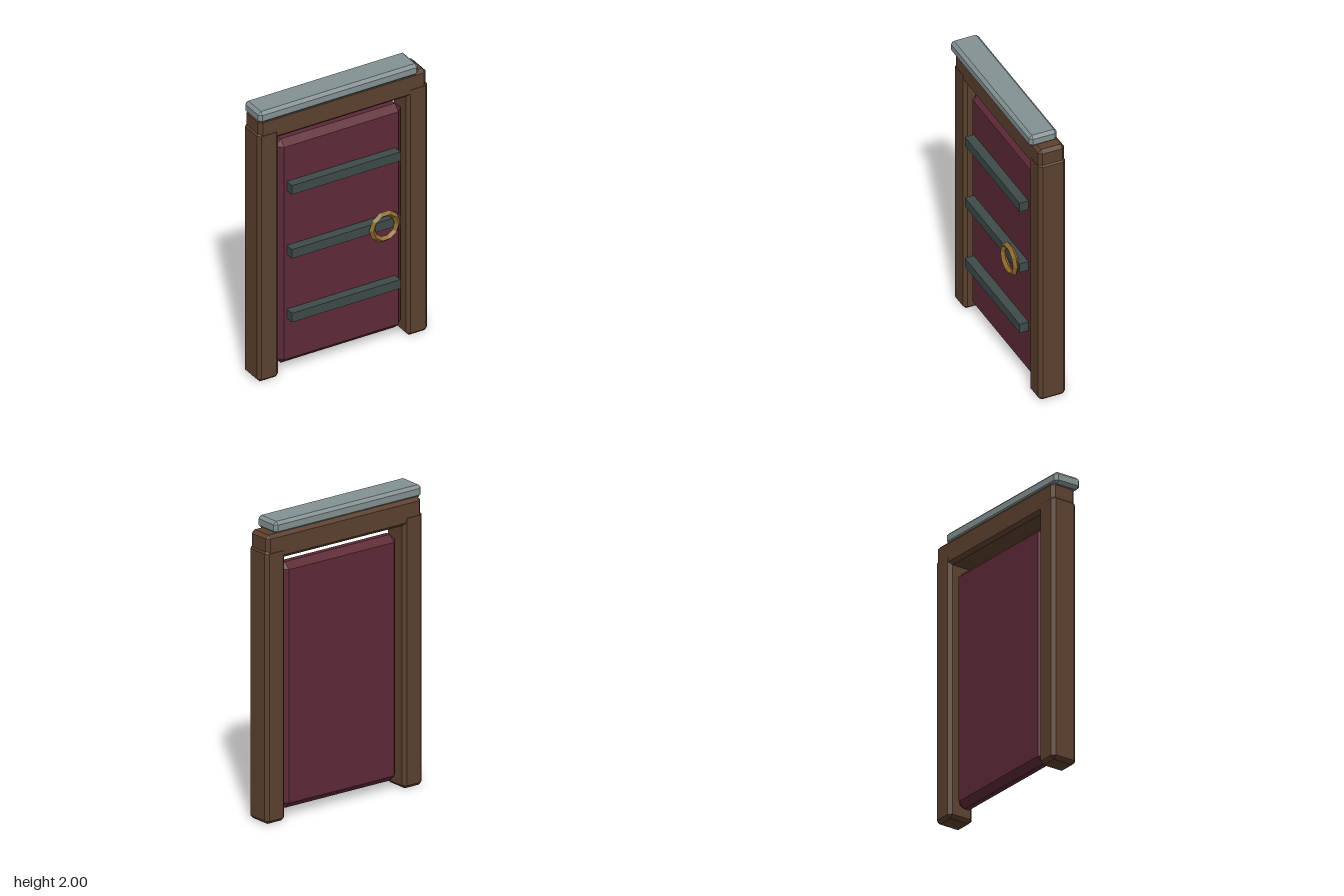
import * as THREE from 'three';
import { ConvexGeometry } from 'three/addons/geometries/ConvexGeometry.js';

const paint = (color) => new THREE.MeshStandardMaterial({ color, flatShading: true });

// Box between two corners with every edge cut at 45 degrees
function chamferBox([x0, y0, z0], [x1, y1, z1], c) {
  const half = [(x1 - x0) / 2, (y1 - y0) / 2, (z1 - z0) / 2];
  const points = [];
  for (const sx of [-1, 1]) for (const sy of [-1, 1]) for (const sz of [-1, 1]) {
    for (let axis = 0; axis < 3; axis++) {
      // one point per face meeting at this corner
      const [x, y, z] = half.map((h, i) => (i === axis ? h : h - c));
      points.push(new THREE.Vector3(sx * x, sy * y, sz * z));
    }
  }
  return new ConvexGeometry(points).translate((x0 + x1) / 2, (y0 + y1) / 2, (z0 + z1) / 2);
}

export function createModel() {
  const model = new THREE.Group();
  model.name = 'door';
  const add = (name, geometry, material) => {
    const mesh = new THREE.Mesh(geometry, material);
    mesh.name = name;
    model.add(mesh);
    return mesh;
  };

  const wood = paint(0x5c412f);
  const panelRed = paint(0x5e2a36);
  const iron = paint(0x3e4a4a);
  const stone = paint(0x849293);
  const brass = paint(0x8f6a2c);

  // Frame: two posts and the lintel over them
  add('rightPost', chamferBox([-0.627, 0, -0.125], [-0.472, 1.83, 0.062], 0.022), wood);
  add('leftPost', chamferBox([0.473, 0, -0.125], [0.628, 1.83, 0.062], 0.022), wood);
  add('lintel', chamferBox([-0.617, 1.757, -0.123], [0.618, 1.928, 0.06], 0.022), wood);

  // Cap stone, shifted to one side
  add('capStone', chamferBox([-0.634, 1.917, -0.107], [0.543, 2, 0.087], 0.02), stone);

  // Door panel, set back in the frame
  add('doorPanel', chamferBox([-0.461, 0.053, -0.09], [0.465, 1.698, 0.03], 0.042), panelRed);

  // Three iron straps
  for (const y of [0.43, 0.898, 1.368]) {
    add('strap', new THREE.BoxGeometry(0.8, 0.066, 0.07), iron).position.set(0, y, 0.058);
  }

  // Faceted ring handle
  add('ringHandle', new THREE.TorusGeometry(0.093, 0.021, 4, 10), brass).position.set(0.277, 0.898, 0.104);

  return model;
}
